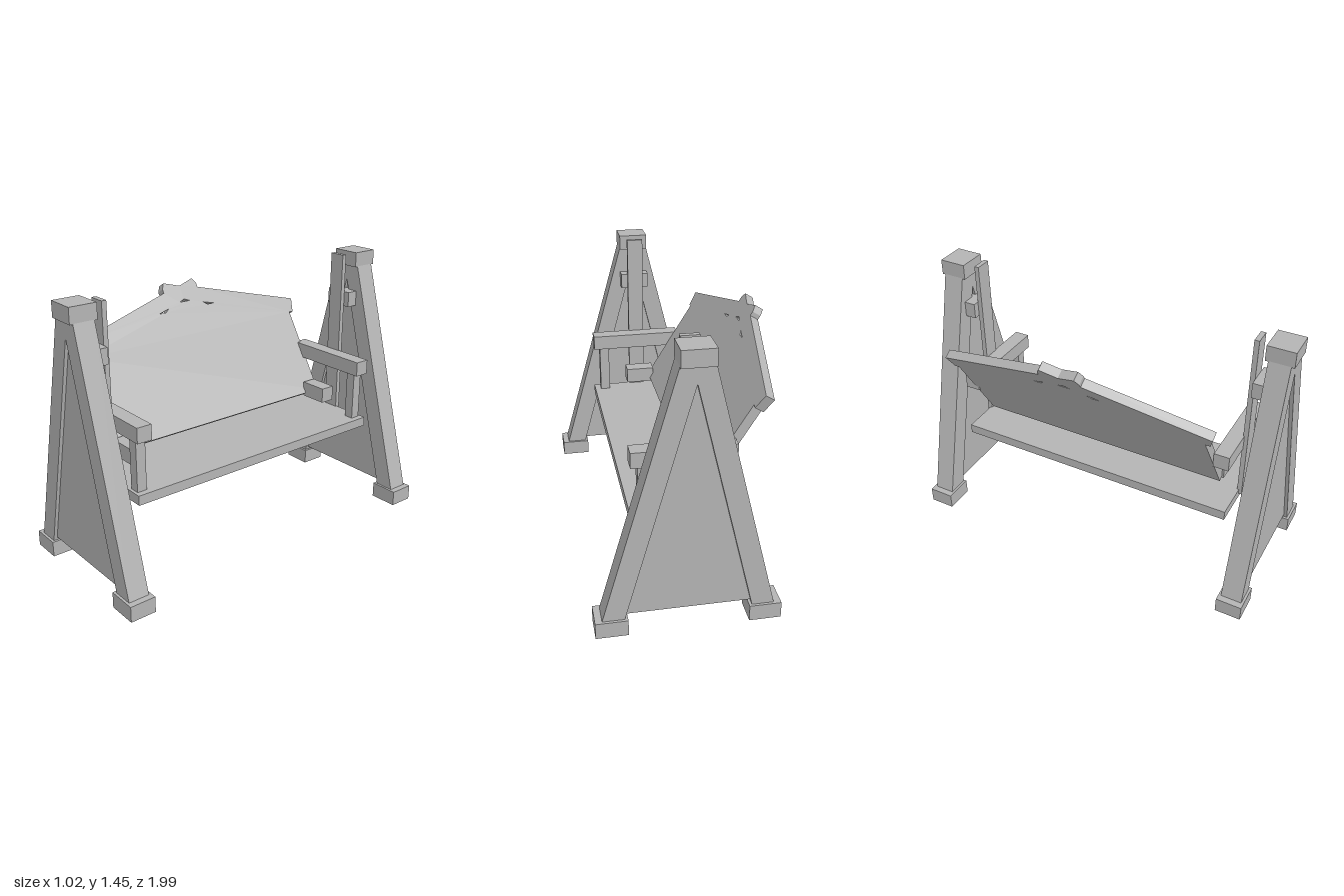
import * as THREE from 'three';

const wood = new THREE.MeshStandardMaterial({ color: 0xb4b4b4 });
wood.name = 'paleGrey';

// Box given by its extents on each axis
function box(parent, name, [x0, x1], [y0, y1], [z0, z1]) {
  const m = new THREE.Mesh(new THREE.BoxGeometry(x1 - x0, y1 - y0, Math.abs(z1 - z0)), wood);
  m.position.set((x0 + x1) / 2, (y0 + y1) / 2, (z0 + z1) / 2);
  m.name = name;
  parent.add(m);
}

const toPoints = (list) => list.map(([x, y]) => new THREE.Vector2(x, y));

// Outline extruded along z, centred on z = 0
function slab(points, depth, holes = []) {
  const shape = new THREE.Shape(toPoints(points));
  holes.forEach((h) => shape.holes.push(new THREE.Path(toPoints(h))));
  const g = new THREE.ExtrudeGeometry(shape, { depth, bevelEnabled: false });
  return g.translate(0, 0, -depth / 2);
}

// A-shaped end frame with feet, cap, infill panel and pivot stub
function endFrame(side) {
  const frame = new THREE.Group();
  frame.name = side > 0 ? 'frontEndFrame' : 'backEndFrame';
  const legs = new THREE.Mesh(slab([[-0.375, 0.08], [-0.265, 0.08], [0.027, 1.285],
    [0.362, 0.08], [0.472, 0.08], [0.105, 1.37], [-0.055, 1.37]], 0.113), wood);
  legs.name = 'legs';
  const panel = new THREE.Mesh(slab([[-0.28, 0.103], [0.375, 0.103], [0.027, 1.3]], 0.075), wood);
  panel.name = 'infillPanel';
  frame.add(legs, panel);
  box(frame, 'foot', [-0.41, -0.25], [0, 0.085], [-0.07, 0.07]);
  box(frame, 'foot', [0.345, 0.505], [0, 0.085], [-0.07, 0.07]);
  box(frame, 'cap', [-0.055, 0.105], [1.367, 1.45], [-0.073, 0.073]);
  box(frame, 'pivotStub', [-0.055, 0.105], [1.14, 1.225], [-0.03 * side, -0.118 * side]);
  frame.position.z = side * 0.924;
  return frame;
}

// Reclined backrest with pointed top, small wing tips and cut-outs
function backrest() {
  const tilt = 0.5567, thickness = 0.05, foot = 0.61;
  const stretch = ([a, y]) => [a, (y - foot) / Math.cos(tilt)];
  const right = [[0.712, foot], [0.712, 1.04], [0.737, 1.035], [0.762, 1.105],
    [0.117, 1.26], [0.117, 1.28], [0.098, 1.308]];
  const left = right.map(([a, y]) => [-a, y]).reverse();
  const holes = [
    [[-0.035, 1.202], [0.035, 1.202], [0, 1.214]],
    [[0.12, 1.182], [0.19, 1.166], [0.145, 1.166]],
    [[-0.12, 1.182], [-0.19, 1.166], [-0.145, 1.166]],
  ].map((h) => h.map(stretch));
  const g = slab([...right, [0, 1.282], ...left].map(stretch), thickness, holes);
  g.translate(0, 0, -thickness / 2).rotateY(Math.PI / 2);
  const board = new THREE.Mesh(g, wood);
  board.name = 'backrest';
  board.rotation.z = tilt;
  board.position.set(-0.035, foot, -0.012);
  return board;
}

export function createModel() {
  const model = new THREE.Group();
  model.name = 'gardenSwing';

  // Hanging bench
  const bench = new THREE.Group();
  bench.name = 'bench';
  box(bench, 'seat', [-0.22, 0.295], [0.465, 0.517], [-0.79, 0.79]);
  bench.add(backrest());
  for (const s of [1, -1]) {
    box(bench, 'armrest', [-0.22, 0.295], [0.79, 0.872], [0.703 * s, 0.786 * s]);
    box(bench, 'armPost', [0.205, 0.26], [0.51, 0.8], [0.72 * s, 0.774 * s]);
    box(bench, 'hangingPlank', [-0.02, 0.07], [0.49, 1.44], [0.78 * s, 0.806 * s]);
    box(bench, 'sideBlock', [-0.055, 0.105], [0.59, 0.675], [0.627 * s, 0.71 * s]);
  }

  model.add(bench, endFrame(1), endFrame(-1));
  return model;
}
